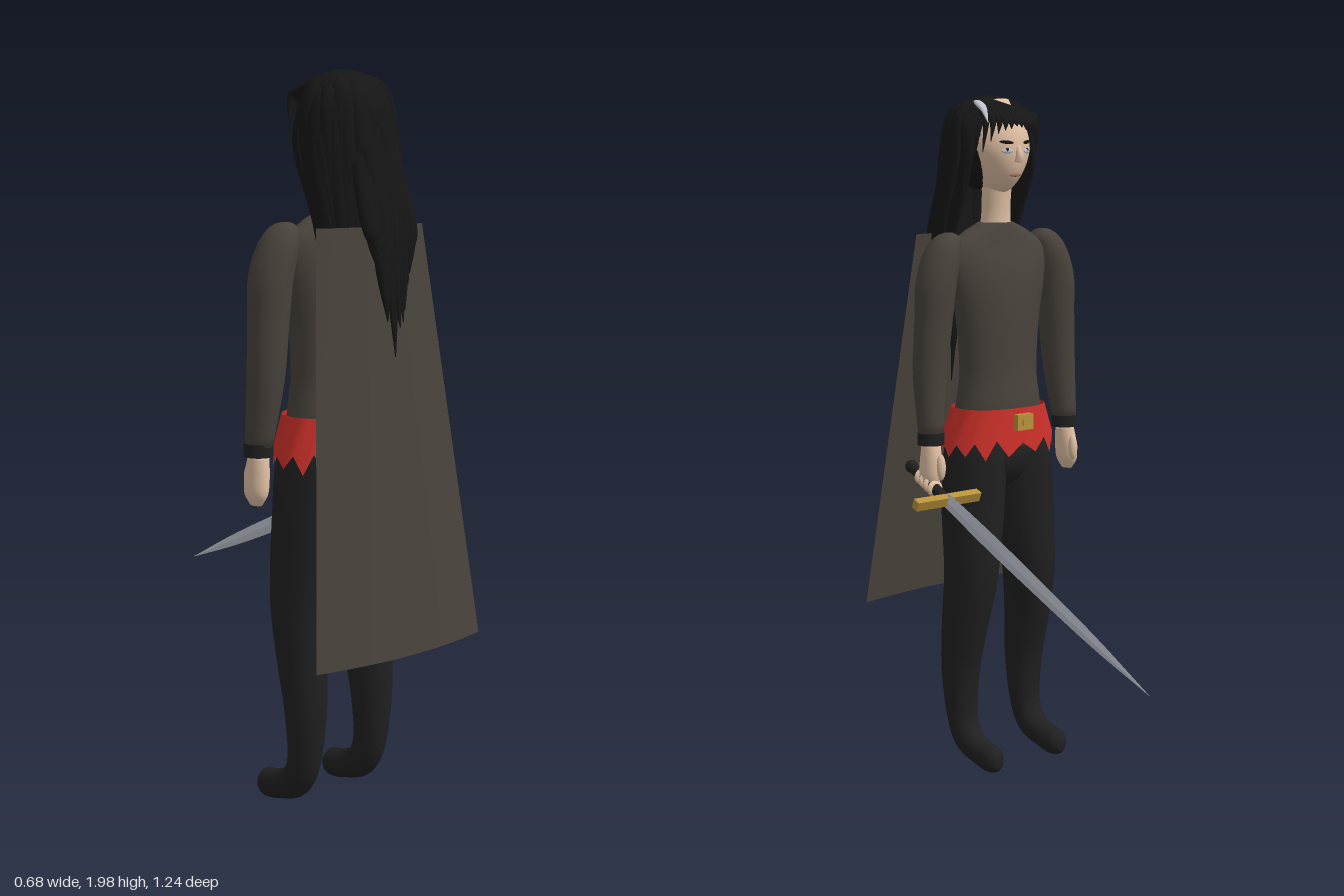
import * as THREE from 'three';

const mat = (name, color, extra = {}) => Object.assign(new THREE.MeshStandardMaterial({ color, ...extra }), { name });
const V = (x, y, z) => new THREE.Vector3(x, y, z);
const CX = -0.04; // body centre line

// Tapered tube through sections [x, y, z, radius along side, radius across]
function loft(sections, { sides = 20, steps = 5, side = V(1, 0, 0), flat = false } = {}) {
  const path = new THREE.CatmullRomCurve3(sections.map(s => V(s[0], s[1], s[2])), false, 'catmullrom', 0.5);
  const radii = new THREE.CatmullRomCurve3(sections.map(s => V(s[3], s[4], 0)), false, 'catmullrom', 0.5);
  const n = (sections.length - 1) * steps, pos = [], idx = [];
  for (let i = -1; i <= n + 1; i++) {
    const t = Math.min(1, Math.max(0, i / n));
    const c = path.getPoint(t), r = radii.getPoint(t), T = path.getTangent(t);
    if (i < 0 || i > n) r.set(0, 0, 0); // closed ends
    const S = side.clone().addScaledVector(T, -side.dot(T)).normalize();
    const O = T.clone().cross(S);
    for (let j = 0; j < sides; j++) {
      const a = j / sides * Math.PI * 2;
      const p = c.clone().addScaledVector(S, Math.max(0, r.x) * Math.cos(a)).addScaledVector(O, Math.max(0, r.y) * Math.sin(a));
      pos.push(p.x, p.y, p.z);
    }
  }
  for (let i = 0; i < n + 2; i++) for (let j = 0; j < sides; j++) {
    const a = i * sides + j, b = i * sides + (j + 1) % sides;
    idx.push(a, b, a + sides, b, b + sides, a + sides);
  }
  let g = new THREE.BufferGeometry();
  g.setAttribute('position', new THREE.Float32BufferAttribute(pos, 3));
  g.setIndex(idx);
  if (flat) g = g.toNonIndexed();
  g.computeVertexNormals();
  return g;
}

export function createModel() {
  const cloth = mat('brown cloth', 0x48423b), cape = mat('cape cloth', 0x48423b, { side: THREE.DoubleSide });
  const black = mat('black trousers', 0x202020), hairM = mat('black hair', 0x161616);
  const red = mat('red sash', 0xcc3029, { side: THREE.DoubleSide }), gold = mat('gold', 0xb8923a);
  const steel = mat('steel', 0xbfc3cf), skin = mat('skin', 0xe0bfa3), lip = mat('lips', 0xa86f60);

  const root = new THREE.Group();
  const add = (name, geo, m, p = [0, 0, 0], parent = root) => {
    const o = new THREE.Mesh(geo, m);
    o.name = name;
    o.position.set(...p);
    parent.add(o);
    return o;
  };
  const ball = (rx, ry, rz) => new THREE.SphereGeometry(1, 24, 16).scale(rx, ry, rz);
  let seed = 7;
  const rnd = () => (seed = (seed * 16807) % 2147483647) / 2147483647;

  // Torso and neck
  add('torso', loft([
    [CX, 0.97, 0.325, 0.155, 0.1], [CX, 1.09, 0.318, 0.14, 0.1], [CX, 1.2, 0.316, 0.128, 0.088],
    [CX, 1.35, 0.316, 0.142, 0.086], [CX, 1.47, 0.32, 0.17, 0.08], [CX, 1.55, 0.325, 0.175, 0.064],
    [CX, 1.595, 0.325, 0.12, 0.054], [CX, 1.625, 0.325, 0.055, 0.046]], { sides: 28 }), cloth);
  add('neck', loft([[CX, 1.58, 0.325, 0.052, 0.045], [CX, 1.66, 0.322, 0.042, 0.042], [CX, 1.77, 0.315, 0.045, 0.045]]), skin);
  add('pelvis', ball(0.15, 0.11, 0.1), black, [CX, 0.95, 0.322]);

  // Arms, hands and legs, mirrored about the centre line
  for (const s of [-1, 1]) {
    const at = (d, ...rest) => [CX + s * d, ...rest];
    add('arm', loft([
      at(0.15, 1.585, 0.325, 0.02, 0.025), at(0.19, 1.55, 0.322, 0.048, 0.054), at(0.222, 1.46, 0.32, 0.058, 0.06),
      at(0.232, 1.35, 0.322, 0.054, 0.056), at(0.244, 1.2, 0.325, 0.049, 0.051), at(0.255, 1.02, 0.31, 0.035, 0.038)]), cloth);
    add('cuff', new THREE.CylinderGeometry(0.039, 0.039, 0.035, 20), black, at(0.255, 1.015, 0.31));
    add('hand', loft([
      at(0.255, 1.0, 0.31, 0.026, 0.03), at(0.258, 0.95, 0.308, 0.028, 0.038),
      at(0.262, 0.9, 0.308, 0.026, 0.038), at(0.262, 0.868, 0.308, 0.012, 0.02)]), skin);
    add('thumb', ball(0.014, 0.038, 0.014), skin, at(0.252, 0.935, 0.268));
    add('leg', loft([
      at(0.08, 1.03, 0.325, 0.07, 0.085), at(0.085, 0.95, 0.323, 0.084, 0.105), at(0.095, 0.8, 0.32, 0.09, 0.1),
      at(0.11, 0.6, 0.312, 0.076, 0.09), at(0.12, 0.45, 0.33, 0.066, 0.077), at(0.123, 0.3, 0.35, 0.058, 0.06),
      at(0.123, 0.16, 0.347, 0.046, 0.048), at(0.123, 0.085, 0.315, 0.042, 0.046), at(0.123, 0.055, 0.25, 0.037, 0.041),
      at(0.123, 0.045, 0.195, 0.034, 0.04), at(0.123, 0.045, 0.17, 0.016, 0.02)]), black);
  }

  // Sash with a jagged lower edge, and its buckle
  const sash = new THREE.CylinderGeometry(1, 1, 1, 28, 1, true), sp = sash.attributes.position;
  const fat = v => Math.sign(v) * Math.abs(v) ** 0.85;
  for (let i = 0; i < sp.count; i++) {
    const top = sp.getY(i) > 0, k = i % 29 % 28;
    sp.setXYZ(i, CX + fat(sp.getX(i)) * (top ? 0.148 : 0.182), top ? 1.09 : (k % 2 ? 0.955 : 1.0) - (k % 3) * 0.006,
      (top ? 0.318 : 0.324) + fat(sp.getZ(i)) * (top ? 0.107 : 0.121));
  }
  sash.computeVertexNormals();
  add('sash', sash, red);
  add('buckle', new THREE.BoxGeometry(0.058, 0.046, 0.02), gold, [CX, 1.05, 0.2]);
  add('buckleCentre', new THREE.BoxGeometry(0.026, 0.02, 0.01), gold, [CX, 1.05, 0.19]);

  // Cape: a flaring curved sheet
  const sheet = new THREE.PlaneGeometry(2, 1, 16, 6), cp = sheet.attributes.position;
  for (let i = 0; i < cp.count; i++) {
    const u = cp.getX(i), d = 0.5 - cp.getY(i);
    cp.setXYZ(i, CX + u * (0.19 + 0.11 * d), 1.59 - 1.11 * d, 0.49 + 0.13 * d - 0.035 * u * u);
  }
  sheet.computeVertexNormals();
  add('cape', sheet, cape);

  // Head, narrowing to the chin
  const H = V(-0.035, 1.835, 0.31), R = V(0.092, 0.13, 0.1);
  const narrow = ny => 1 + 0.3 * Math.min(0, ny);
  const skull = new THREE.SphereGeometry(1, 32, 24), hp = skull.attributes.position;
  for (let i = 0; i < hp.count; i++) {
    const ny = hp.getY(i);
    hp.setXYZ(i, hp.getX(i) * R.x * narrow(ny), ny * R.y, hp.getZ(i) * R.z);
  }
  skull.computeVertexNormals();
  const head = new THREE.Group();
  head.name = 'head';
  root.add(head);
  add('skull', skull, skin, H.toArray(), head);
  const onFace = (name, dx, dy, w, h, m, tilt = 0) => {
    const ny = dy / R.y, nx = dx / (R.x * narrow(ny));
    const o = add(name, ball(w, h, 0.004), m, [H.x + dx, H.y + dy, H.z - R.z * Math.sqrt(1 - nx * nx - ny * ny)], head);
    o.rotation.set(0, -Math.asin(nx), tilt);
  };
  for (const s of [-1, 1]) {
    onFace('eye', s * 0.036, -0.005, 0.017, 0.007, steel);
    onFace('pupil', s * 0.036, -0.004, 0.008, 0.0075, hairM);
    onFace('eyebrow', s * 0.037, 0.02, 0.021, 0.005, hairM, s * 0.1);
  }
  onFace('mouth', 0, -0.072, 0.022, 0.006, lip);
  add('nose', loft([[H.x, 1.845, 0.217, 0.007, 0.008], [H.x, 1.818, 0.208, 0.011, 0.012], [H.x, 1.8, 0.212, 0.014, 0.012]],
    { sides: 12 }), skin, [0, 0, 0], head);

  // Hair: a cap under layers of flattened, tapering locks
  const hair = new THREE.Group();
  hair.name = 'hair';
  root.add(hair);
  add('hairCap', ball(0.115, 0.135, 0.122), hairM, [H.x, 1.85, 0.362], hair);
  const lock = (name, pts, w, side, m = hairM) => {
    const last = pts.length - 1;
    add(name, loft(pts.map((p, i) => {
      const k = i === 0 ? 0.5 : i === last ? 0.06 : i === last - 1 ? 0.75 : 1;
      return [H.x + p[0], p[1], p[2], w * k, w * 0.55 * k];
    }), { sides: 7, steps: 4, side }), m, [0, 0, 0], hair);
  };
  const falling = (a, outer) => {
    const s = Math.sin(a), c = Math.cos(a), j = () => (rnd() - 0.5) * 0.016;
    const tip = outer ? 1.23 + Math.abs(s) * 0.4 + rnd() * 0.08 : 1.07 + rnd() * 0.28;
    const zs = outer ? [0.52, 0.532, 0.545] : [0.41 + 0.07 * c, 0.44 + 0.02 * c, 0.485];
    lock(outer ? 'outerLock' : 'longLock', [
      [0.015 * s, 1.972, 0.335 + 0.02 * c], [0.1 * s + j(), 1.93 + j(), 0.35 + 0.09 * c],
      [0.13 * s + j(), 1.8, 0.355 + 0.122 * c], [0.134 * s + j(), 1.6, zs[0]],
      [0.115 * s + j(), (1.6 + tip) / 2, zs[1]], [0.1 * s + j(), tip, zs[2]]], 0.021 + rnd() * 0.008, V(c, 0, -s));
  };
  for (let i = 0; i < 28; i++) falling(-1.95 + 3.9 * i / 27, false);
  for (let i = 0; i < 11; i++) falling(-0.55 + 1.1 * i / 10, true);
  // Short layer that roughens the crown
  for (let i = 0; i < 18; i++) {
    const a = -2 + 4 * i / 17, s = Math.sin(a), c = Math.cos(a), e = 1.66 + rnd() * 0.12;
    lock('shortLock', [[0.01 * s, 1.982, 0.335], [0.085 * s, 1.952, 0.345 + 0.075 * c], [0.125 * s, 1.86, 0.35 + 0.118 * c],
      [0.14 * s, e, 0.37 + 0.122 * c]], 0.02, V(c, 0, -s));
  }
  // Fringe, longer toward the temples
  for (let i = 0; i < 12; i++) {
    const d = -0.092 + 0.184 * i / 11, f = Math.abs(d) / 0.092;
    lock('fringe', [[d * 0.45, 1.975, 0.315], [d * 0.85, 1.95 - 0.012 * f, 0.245 + 0.025 * f], [d, 1.915, 0.214 + 0.03 * f * f],
      [d * 1.08, 1.885 - 0.07 * f ** 3 + rnd() * 0.015, 0.206 + 0.045 * f * f]], 0.016, V(1, 0, 0));
  }
  lock('paleStreak', [[0.06, 1.97, 0.33], [0.083, 1.962, 0.285], [0.095, 1.945, 0.25], [0.1, 1.91, 0.225]], 0.015, V(1, 0, 0), steel);
  const part = add('parting', new THREE.ConeGeometry(0.034, 0.008, 3), skin, [H.x, 1.974, 0.275], hair);
  part.rotation.set(-0.35, Math.PI, 0);

  // Sword held low, pointing to the rear of the frame
  const sword = new THREE.Group();
  sword.name = 'sword';
  root.add(sword);
  const along = (z, rx, rz) => [0.23, 0.85 + (z - 0.22) * 0.45, z, rx, rz];
  add('blade', loft([along(0.22, 0.006, 0.023), along(0.05, 0.006, 0.027), along(-0.15, 0.006, 0.025),
    along(-0.4, 0.005, 0.018), along(-0.62, 0.0005, 0.0005)], { sides: 4, flat: true }), steel, [0, 0, 0], sword);
  add('grip', loft([along(0.23, 0.015, 0.016), along(0.31, 0.017, 0.018), along(0.385, 0.015, 0.016)]), black, [0, 0, 0], sword);
  add('pommel', ball(0.019, 0.019, 0.019), black, along(0.385).slice(0, 3), sword);
  add('crossguard', new THREE.BoxGeometry(0.225, 0.028, 0.024), gold, [0.228, 0.85, 0.22], sword).rotation.x = -0.42;
  // Fingers wrapped round the grip
  for (let i = 0; i < 4; i++) add('finger', ball(0.026, 0.024, 0.011), skin, along(0.275 + i * 0.02).slice(0, 3), sword);
  return root;
}
